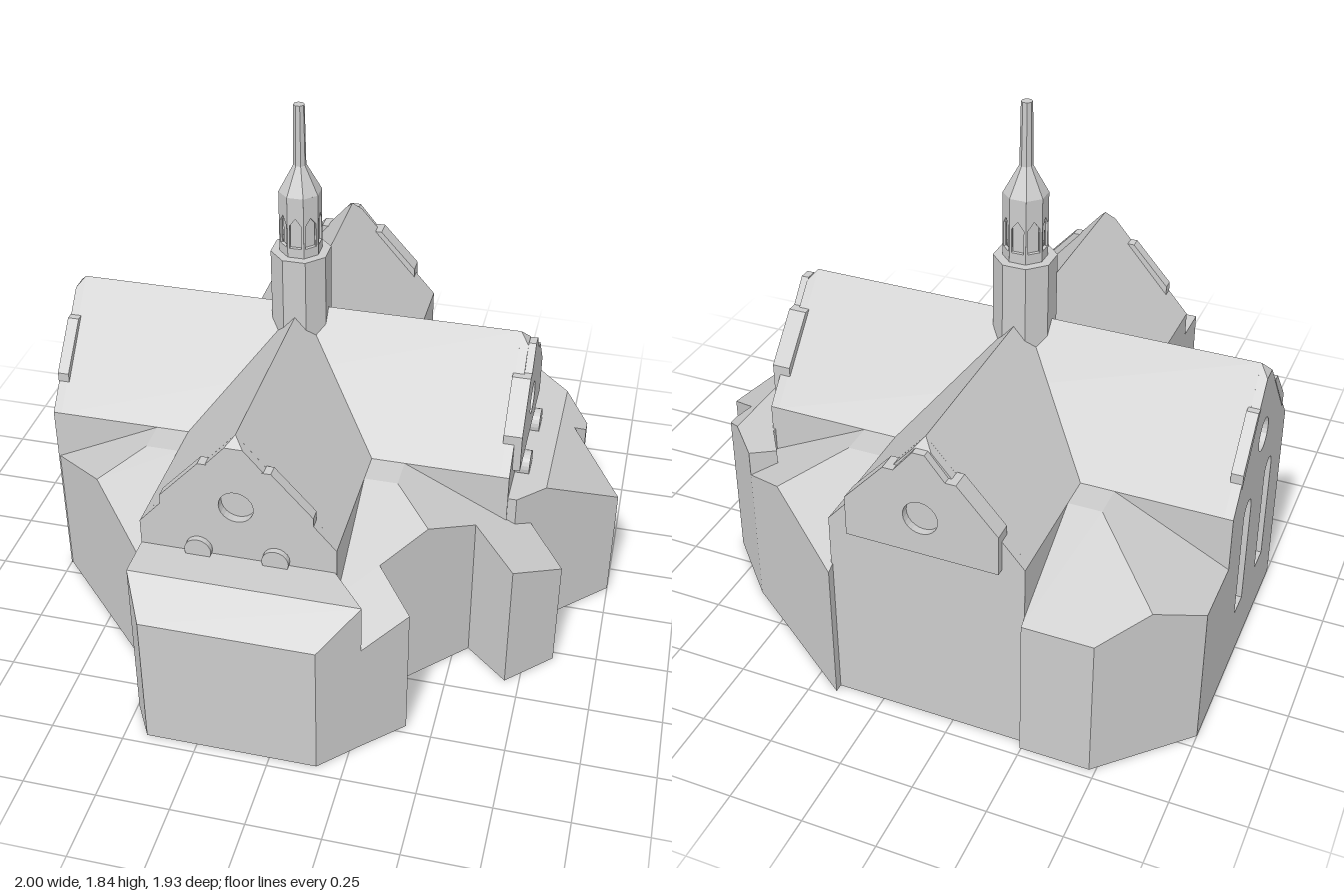
import * as THREE from 'three';

const CX = -0.165, CZ = -0.135;          // crossing of the two roof ridges
const stone = new THREE.MeshStandardMaterial({ color: 0xcccccc, flatShading: true });
stone.name = 'light grey';

function add(parent, geometry, name) {
  const mesh = new THREE.Mesh(geometry, stone);
  mesh.name = name;
  parent.add(mesh);
  return mesh;
}

// Upright block over an [x, z] outline; its top follows height(x, z)
function block(outline, height) {
  const pts = outline.map(([x, z]) => new THREE.Vector2(x, z));
  if (THREE.ShapeUtils.area(pts) > 0) pts.reverse();
  const pos = [];
  const top = (p) => [p.x, height(p.x, p.y), p.y];
  const low = (p) => [p.x, 0, p.y];
  const tri = (a, b, c) => pos.push(...a, ...b, ...c);
  for (const face of THREE.ShapeUtils.triangulateShape(pts, [])) {
    let [a, b, c] = face.map((i) => pts[i]);
    if (THREE.ShapeUtils.area([a, b, c]) > 0) [b, c] = [c, b];
    tri(top(a), top(b), top(c));
    tri(low(a), low(c), low(b));
  }
  pts.forEach((p, i) => {
    const q = pts[(i + 1) % pts.length];
    tri(low(p), low(q), top(q));
    tri(low(p), top(q), top(p));
  });
  const g = new THREE.BufferGeometry();
  g.setAttribute('position', new THREE.Float32BufferAttribute(pos, 3));
  g.computeVertexNormals();
  return g;
}

const shape = (pts) => new THREE.Shape(pts.map(([x, y]) => new THREE.Vector2(x, y)));
const extrude = (s, depth) =>
  new THREE.ExtrudeGeometry(s, { depth, bevelEnabled: false, curveSegments: 12 });

function roundHole(s, x, y, r) {
  s.holes.push(new THREE.Path().absarc(x, y, r, 0, Math.PI * 2, true));
}

function archHole(s, x, bottom, spring, r) {
  const p = new THREE.Path();
  p.moveTo(x - r, bottom);
  p.lineTo(x + r, bottom);
  p.lineTo(x + r, spring);
  p.absarc(x, spring, r, 0, Math.PI, false);
  p.lineTo(x - r, bottom);
  s.holes.push(p);
}

const GABLE = [[-0.33, 0], [0.33, 0], [0.33, 0.7], [0.03, 1.045], [0, 1.08], [-0.03, 1.045], [-0.33, 0.7]];

// End wall of an arm, facing local +z
function gable(name, x, z, turn, { plate = false, windows = false, hoods = 0 }) {
  const g = new THREE.Group();
  g.name = name;
  g.position.set(x, 0, z);
  g.rotation.y = turn;
  const s = shape(GABLE);
  if (!plate) roundHole(s, 0, 0.815, 0.058);
  if (windows) for (const side of [-1, 1]) archHole(s, side * 0.13, 0.2, 0.59, 0.045);
  const wall = extrude(s, 0.03);
  // lean the ridge tip back into a tiny hip
  const p = wall.attributes.position;
  for (let i = 0; i < p.count; i++) if (p.getY(i) > 1.07) p.setZ(i, 0);
  wall.computeVertexNormals();
  add(g, wall, 'gableWall');

  for (const m of [-1, 1]) {
    const quad = [[0.255, 0.77], [0.255, 0.82], [0.12, 0.97], [0.09, 0.97]].map(([a, b]) => [a * m, b]);
    add(g, extrude(shape(quad), 0.04), 'coping').position.z = -0.008;
    if (hoods) {
      const hood = add(g, new THREE.CylinderGeometry(0.045, 0.045, hoods, 20), 'windowHood');
      hood.rotation.x = Math.PI / 2;
      hood.position.set(m * 0.13, 0.628, 0.03 + hoods / 2);
    }
  }
  if (plate) {
    const f = shape([[-0.255, 0.68], [0.255, 0.68], [0.255, 0.82], [0.12, 0.97], [0.085, 0.97],
      [0.02, 1.05], [-0.02, 1.05], [-0.085, 0.97], [-0.12, 0.97], [-0.255, 0.82]]);
    roundHole(f, 0, 0.815, 0.058);
    add(g, extrude(f, 0.026), 'gablePlate').position.z = 0.03;
  }
  return g;
}

function spire() {
  const g = new THREE.Group();
  g.name = 'spire';
  g.position.set(CX, 0, CZ);
  const oct = (r0, r1, y0, y1, name) => {
    const m = add(g, new THREE.CylinderGeometry(r1, r0, y1 - y0, 8), name);
    m.rotation.y = Math.PI / 8;
    m.position.y = (y0 + y1) / 2;
  };
  oct(0.105, 0.105, 0.95, 1.3, 'spireBase');
  oct(0.058, 0.058, 1.3, 1.52, 'lanternCore');
  oct(0.074, 0.022, 1.525, 1.62, 'spireRoof');
  oct(0.022, 0.019, 1.62, 1.835, 'spireTip');
  // eight lantern faces, each with a pointed opening
  const w = 0.0283;
  const s = shape([[-w, 1.3], [w, 1.3], [w, 1.525], [-w, 1.525]]);
  s.holes.push(new THREE.Path([[-0.021, 1.335], [0.021, 1.335], [0.021, 1.42], [0, 1.448], [-0.021, 1.42]]
    .map(([a, b]) => new THREE.Vector2(a, b))));
  for (let i = 0; i < 8; i++) {
    const pivot = new THREE.Group();
    pivot.name = 'lanternSide';
    pivot.rotation.y = i * Math.PI / 4;
    add(pivot, extrude(s, 0.012), 'lanternFace').position.z = 0.0564;
    g.add(pivot);
  }
  return g;
}

export function createModel() {
  const model = new THREE.Group();
  model.name = 'church';

  // crossing arms with steep gabled roofs
  const arm = shape([[-0.33, 0], [0.33, 0], [0.33, 0.7], [0, 1.08], [-0.33, 0.7]]);
  add(model, extrude(arm, 1.58), 'longArm').position.set(CX, 0, -0.91);
  const cross = add(model, extrude(arm, 1.58), 'crossArm');
  cross.rotation.y = Math.PI / 2;
  cross.position.set(-0.97, 0, CZ);

  model.add(gable('frontGable', CX, 0.67, 0, { hoods: 0.02 }));
  model.add(gable('backGable', CX, -0.91, Math.PI, { plate: true }));
  model.add(gable('leftGable', 0.61, CZ, Math.PI / 2, { plate: true, hoods: 0.05 }));
  model.add(gable('rightGable', -0.97, CZ, -Math.PI / 2, { windows: true }));

  // low corner buildings: flat near the crossing, then hipped slopes outward
  const hipped = (x, z) =>
    0.7 - 0.5 * Math.max(0, Math.max(Math.abs(x - CX), Math.abs(z - CZ)) - 0.445);
  const corners = {
    frontLeftCorner: [
      [[0.16, 0.19], [0.28, 0.19], [0.28, 0.31], [0.16, 0.31]],
      [[0.28, 0.31], [0.4125, 0.4425], [0.55, 0.3], [0.7, 0.43], [0.85, 0.28], [0.72, 0.14], [0.65, 0.19], [0.28, 0.19]],
      [[0.28, 0.31], [0.4125, 0.4425], [0.28, 0.58], [0.41, 0.72], [0.28, 0.845], [0.16, 0.7], [0.16, 0.31]],
    ],
    frontRightCorner: [
      [[-0.61, 0.19], [-0.495, 0.19], [-0.495, 0.31], [-0.61, 0.31]],
      [[-0.61, 0.19], [-1, 0.19], [-0.746, 0.446], [-0.61, 0.31]],
      [[-0.61, 0.31], [-0.746, 0.446], [-0.495, 0.7], [-0.495, 0.31]],
    ],
    backRightCorner: [
      [[-0.61, -0.465], [-0.495, -0.465], [-0.495, -0.58], [-0.61, -0.58]],
      [[-0.61, -0.465], [-1, -0.465], [-1, -0.7], [-0.865, -0.835], [-0.61, -0.58]],
      [[-0.61, -0.58], [-0.865, -0.835], [-0.73, -0.97], [-0.495, -0.97], [-0.495, -0.58]],
    ],
    backLeftCorner: [
      [[0.16, -0.465], [0.28, -0.465], [0.28, -0.58], [0.16, -0.58]],
      [[0.28, -0.58], [0.458, -0.758], [0.64, -0.63], [0.65, -0.465], [0.28, -0.465]],
      [[0.28, -0.58], [0.458, -0.758], [0.16, -0.97], [0.16, -0.58]],
    ],
  };
  for (const [name, pieces] of Object.entries(corners))
    for (const piece of pieces) add(model, block(piece, hipped), name);

  // front porch: flat top and a sloping front edge
  const porch = (x, z) => 0.61 - 0.92 * Math.max(0, z - 0.845);
  add(model, block([[-0.495, 0.69], [-0.495, 0.845], [0.28, 0.845], [0.16, 0.7], [0.15, 0.69]], porch), 'porch');
  add(model, block([[-0.495, 0.845], [-0.425, 0.965], [0.16, 0.965], [0.28, 0.845]], porch), 'porchSlope');

  // pointed side annex
  const annex = (x) => 0.61 - 0.75 * Math.max(0, x - 0.76);
  add(model, block([[0.63, 0.19], [0.67, 0.19], [0.76, 0.1], [0.76, -0.505], [0.64, -0.63], [0.56, -0.58],
    [0.63, -0.48]], annex), 'sideAnnex');
  add(model, block([[0.76, 0.1], [1, -0.14], [0.81, -0.33], [0.85, -0.37], [0.85, -0.41], [0.76, -0.505]], annex),
    'sideAnnexSlope');

  model.add(spire());
  return model;
}
